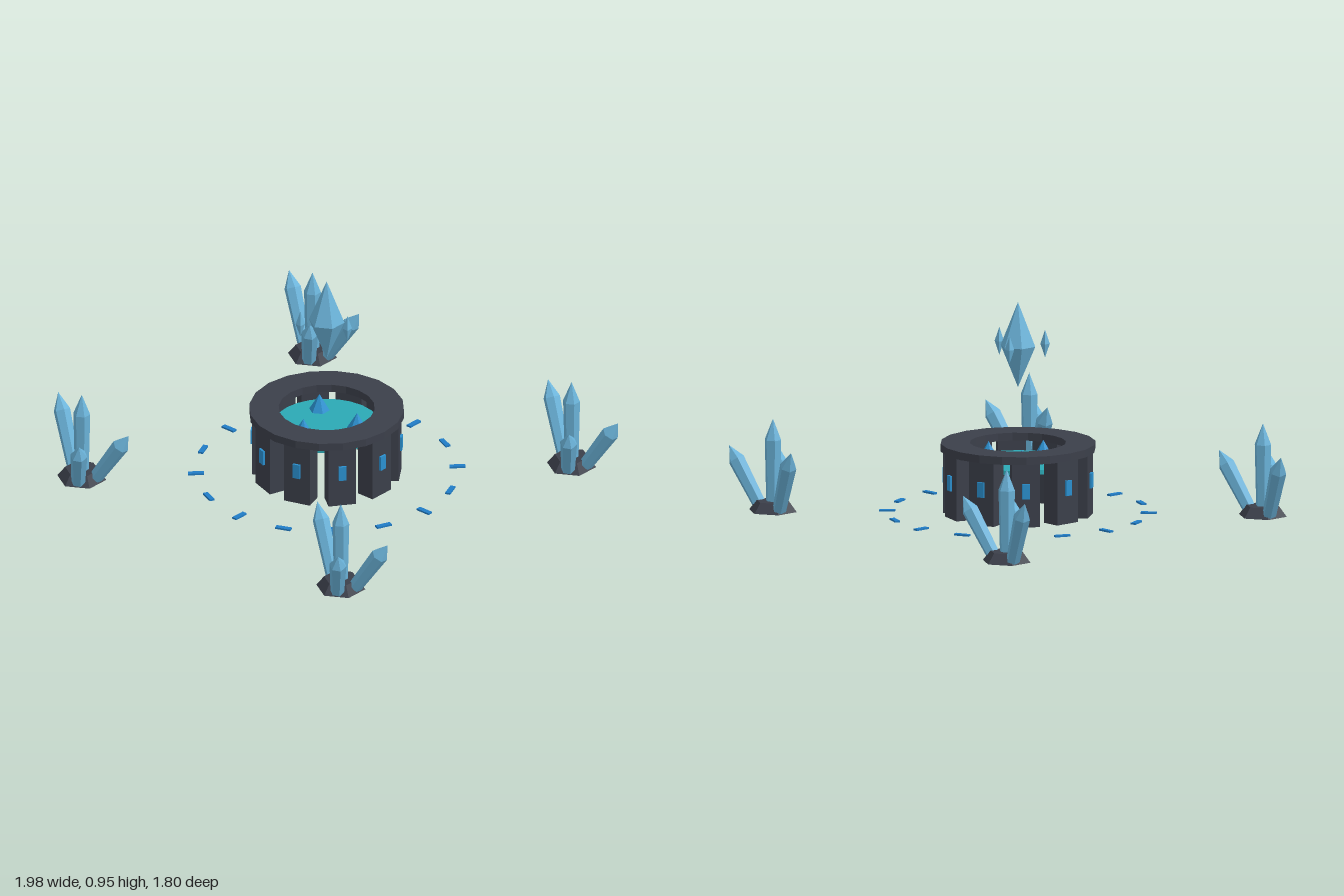
import * as THREE from 'three';

const mat = (name, hex) => {
  const m = new THREE.MeshStandardMaterial({ color: hex });
  m.name = name;
  return m;
};

export function createModel() {
  const stone = mat('dark stone', 0x3b3f4a);
  const crystal = mat('pale crystal', 0x6ab2d8);
  const water = mat('teal water', 0x2ba8b4);
  const glow = mat('blue glow', 0x2a90cf);
  const rune = mat('blue rune', 0x207cc6);

  const model = new THREE.Group();
  model.name = 'crystalWell';

  // faceted mesh: every face gets its own normals
  const add = (parent, name, geo, material, x = 0, y = 0, z = 0) => {
    const g = geo.toNonIndexed();
    g.computeVertexNormals();
    const m = new THREE.Mesh(g, material);
    m.name = name;
    m.position.set(x, y, z);
    parent.add(m);
    return m;
  };
  const lathe = (pts, sides) =>
    new THREE.LatheGeometry(pts.map(([r, y]) => new THREE.Vector2(r, y)), sides);

  // everything but the outer crystals turns about the well's axis
  const centre = new THREE.Group();
  centre.name = 'well';
  centre.position.z = -0.016;
  model.add(centre);

  // capping ring
  add(centre, 'rimRing',
    lathe([[0.212, 0.283], [0.342, 0.283], [0.342, 0.318], [0.212, 0.318], [0.212, 0.283]], 20), stone);

  // ten standing blocks, each with a glowing panel on its outer face
  for (let i = 0; i < 10; i++) {
    const pillar = new THREE.Group();
    pillar.name = 'pillar';
    pillar.rotation.y = i * Math.PI / 5;
    add(pillar, 'pillarBlock', new THREE.BoxGeometry(0.086, 0.284, 0.124), stone, 0.282, 0.142, 0);
    add(pillar, 'pillarPanel', new THREE.BoxGeometry(0.0098, 0.068, 0.034), glow, 0.3299, 0.161, 0);
    centre.add(pillar);
  }

  // pool with three cones rising from it
  add(centre, 'pool', new THREE.CylinderGeometry(0.235, 0.235, 0.02, 24), water, 0, 0.225, 0);
  for (let i = 0; i < 3; i++) {
    const a = Math.PI / 2 + 0.09 + i * Math.PI * 2 / 3;
    add(centre, 'poolCone', new THREE.ConeGeometry(0.048, 0.08, 6), glow,
      Math.cos(a) * 0.14, 0.272, Math.sin(a) * 0.14);
  }

  // hovering crystal and its three small companions
  add(centre, 'floatingCrystal', lathe([[0, -0.185], [0.08, 0], [0, 0.197]], 6), crystal, 0, 0.75, 0);
  for (let i = 0; i < 3; i++) {
    const a = i * Math.PI * 2 / 3;
    const shard = add(centre, 'floatingShard', lathe([[0, -0.062], [0.021, 0], [0, 0.062]], 4), crystal,
      Math.cos(a) * 0.122, 0.755, Math.sin(a) * 0.122);
    shard.rotation.y = Math.PI / 4;
  }

  // circle of ground runes, alternately radial and tangential
  for (let i = 0; i < 16; i++) {
    const a = i * Math.PI / 8;
    const bar = add(centre, 'groundRune', new THREE.BoxGeometry(0.07, 0.008, 0.023), rune,
      Math.cos(a) * 0.576, 0.007, Math.sin(a) * 0.576);
    bar.rotation.y = -a + (i % 2) * Math.PI / 2;
  }

  // corner clusters: [base point, tip point] for every spike
  const spikes = [
    [[0, 0.02, 0], [0, 0.413, 0]],
    [[-0.075, 0.02, -0.03], [-0.228, 0.305, -0.1]],
    [[0.07, 0.02, -0.016], [0.228, 0.267, -0.053]],
    [[0.04, 0.02, 0.068], [0.107, 0.243, 0.138]],
  ];
  const up = new THREE.Vector3(0, 1, 0);
  for (const sx of [-1, 1]) for (const sz of [-1, 1]) {
    const cluster = new THREE.Group();
    cluster.name = 'crystalCluster';
    cluster.position.set(sx * 0.764, 0, -0.016 + sz * 0.762);
    add(cluster, 'clusterRock', new THREE.CylinderGeometry(0.075, 0.11, 0.045, 6), stone, 0, 0.0225, 0);
    for (const [from, to] of spikes) {
      const axis = new THREE.Vector3(...to).sub(new THREE.Vector3(...from));
      const len = axis.length();
      const spike = add(cluster, 'crystalSpike',
        lathe([[0, 0], [0.031, 0], [0.038, len * 0.76], [0, len]], 6), crystal, ...from);
      spike.quaternion.setFromUnitVectors(up, axis.normalize());
    }
    model.add(cluster);
  }

  return model;
}
